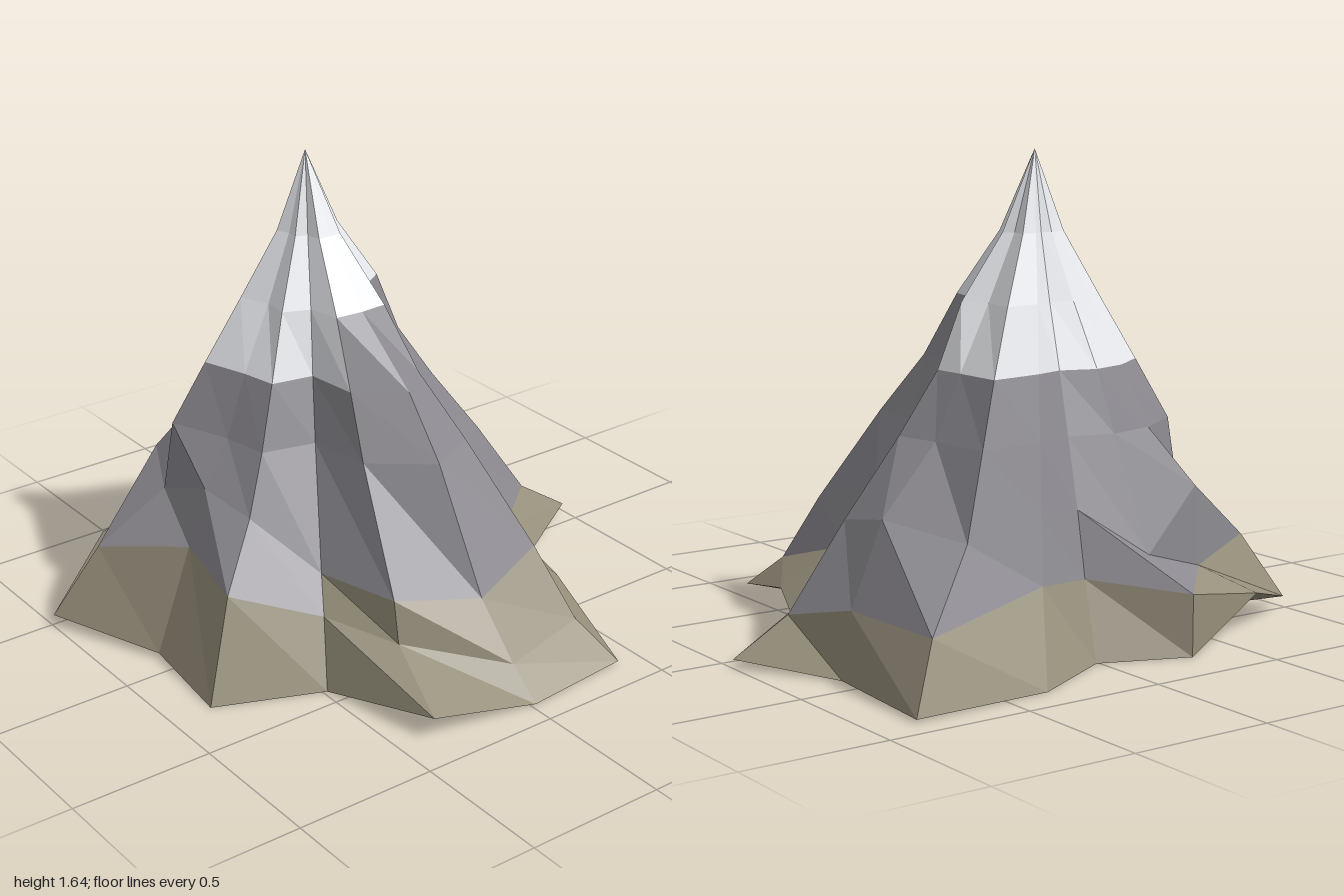
import * as THREE from 'three';

const PEAK = new THREE.Vector3(-0.22, 1.64, 0.09);
const UPPER = [0.71, 0.92, 1.14, 1.365]; // heights of the four upper rings

// One row per ridge or valley line running up to the peak:
// foot x, foot z, heights of rings 0 to 2, spread of rings 1 to 4
const LINES = [
  [-0.905, -0.845, 0.01, 0.22, 0.44, 0.88, 0.60, 0.47, 0.37],
  [-0.40, -0.79, 0.0, 0.22, 0.49, 0.955, 0.80, 0.53, 0.40],
  [-0.075, -1.0, 0.03, 0.155, 0.45, 0.825, 0.64, 0.46, 0.33],
  [0.175, -0.63, 0.06, 0.17, 0.46, 0.88, 0.67, 0.47, 0.34],
  [0.425, -0.53, 0.10, 0.26, 0.48, 0.74, 0.62, 0.46, 0.34],
  [0.88, -0.41, 0.01, 0.13, 0.37, 0.865, 0.73, 0.51, 0.36],
  [0.905, -0.02, 0.0, 0.105, 0.29, 0.905, 0.77, 0.585, 0.455],
  [0.87, 0.38, 0.08, 0.19, 0.33, 0.735, 0.70, 0.46, 0.36],
  [0.43, 0.485, 0.0, 0.22, 0.33, 0.85, 0.72, 0.43, 0.32],
  [0.28, 0.85, 0.0, 0.33, 0.52, 0.82, 0.60, 0.47, 0.36],
  [-0.085, 0.82, 0.02, 0.37, 0.56, 0.79, 0.68, 0.53, 0.41],
  [-0.495, 0.995, 0.04, 0.28, 0.465, 0.82, 0.56, 0.52, 0.39],
  [-0.74, 0.645, 0.15, 0.24, 0.515, 0.74, 0.72, 0.51, 0.39],
  [-0.82, 0.295, 0.0, 0.21, 0.32, 1.0, 0.73, 0.51, 0.40],
  [-0.70, -0.01, 0.0, 0.26, 0.48, 0.82, 0.70, 0.55, 0.41],
  [-0.87, -0.335, 0.0, 0.27, 0.48, 0.66, 0.56, 0.46, 0.35],
];

// Points of one line from its foot up to the ring below the peak
function linePoints([x, z, y0, y1, y2, s1, s2, s3, s4]) {
  const spread = [1, s1, s2, s3, s4, 0.25, 0.11];
  const height = [y0, y1, y2, ...UPPER];
  return spread.map((s, i) => new THREE.Vector3(
    THREE.MathUtils.lerp(PEAK.x, x, s), height[i], THREE.MathUtils.lerp(PEAK.z, z, s)));
}

function facetMesh(name, triangles, color) {
  const geometry = new THREE.BufferGeometry().setFromPoints(triangles);
  geometry.computeVertexNormals();
  const mesh = new THREE.Mesh(geometry, new THREE.MeshStandardMaterial({ color, flatShading: true }));
  mesh.name = name;
  return mesh;
}

export function createModel() {
  const group = new THREE.Group();
  group.name = 'mountain';
  const earth = [], rock = [], snow = [], underside = [];
  const lines = LINES.map(linePoints);
  const center = new THREE.Vector3(PEAK.x, 0, PEAK.z);

  lines.forEach((a, i) => {
    const b = lines[(i + 1) % lines.length];
    // Snow lies higher on one flank than on the other
    const snowLine = 0.96 + 0.12 * Math.cos((i - 4) * Math.PI / 8);
    // Slopes, sorted into earth, rock and snow by height
    for (let j = 0; j < a.length - 1; j++) {
      const mean = (a[j].y + b[j].y + a[j + 1].y + b[j + 1].y) / 4;
      const layer = j === 0 || mean < 0.3 ? earth : mean < snowLine ? rock : snow;
      layer.push(a[j], a[j + 1], b[j + 1], a[j], b[j + 1], b[j]);
    }
    // Summit and underside
    snow.push(a[a.length - 1], PEAK, b[b.length - 1]);
    underside.push(center, a[0], b[0]);
  });

  group.add(
    facetMesh('earthFoot', earth, 0x968f7b),
    facetMesh('rockSlopes', rock, 0x8b898f),
    facetMesh('snowCap', snow, 0xe8eaee),
    facetMesh('underside', underside, 0x968f7b),
  );
  return group;
}
